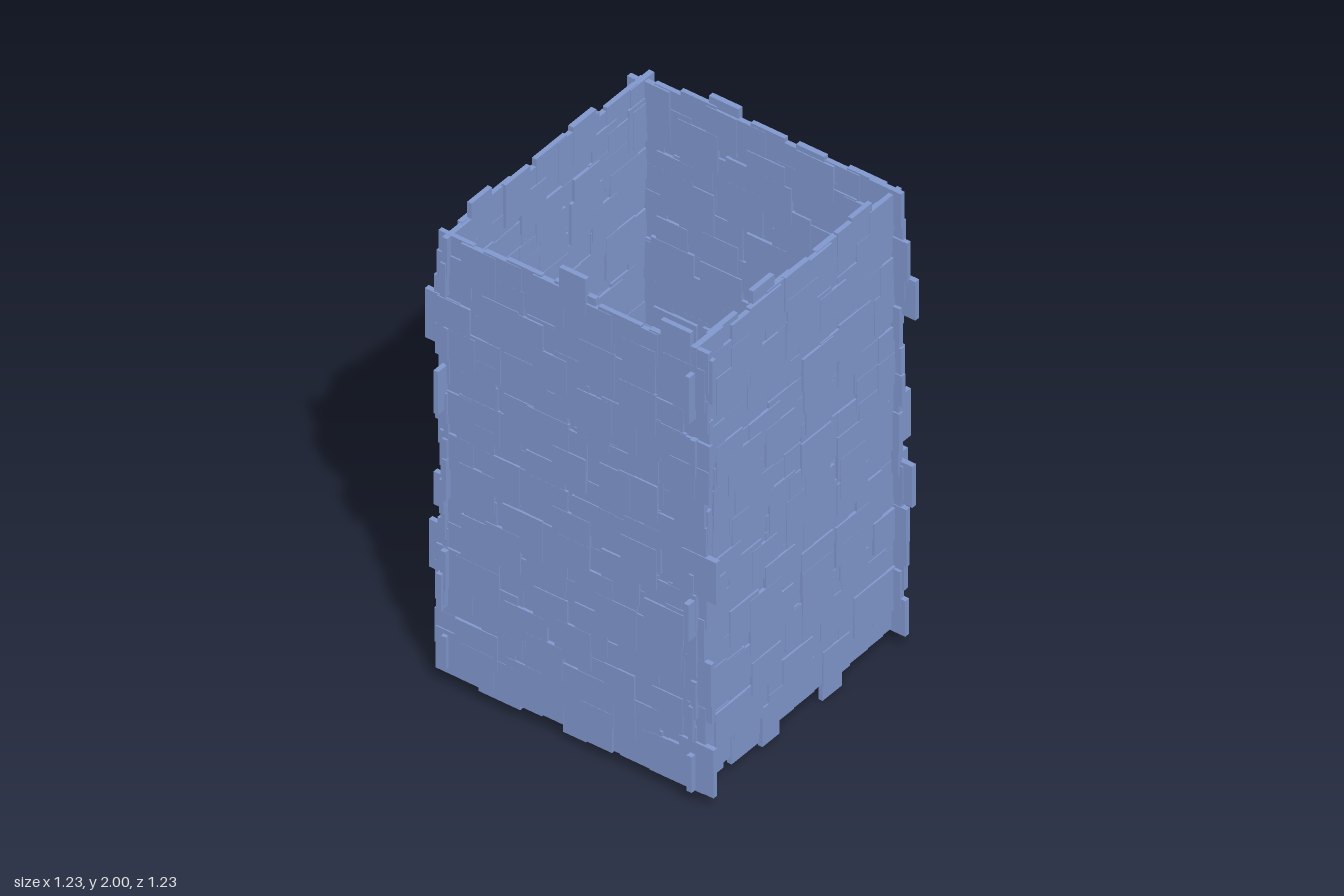
import * as THREE from 'three';
import { mergeGeometries } from 'three/addons/utils/BufferGeometryUtils.js';

// Seeded random numbers, so the tiling is always the same
function seeded(seed) {
  let s = seed;
  return () => {
    s = (s * 16807) % 2147483647;
    return s / 2147483647;
  };
}

// One wall: a jittered grid of thin overlapping slabs, plus slabs that stick out past its edges.
// axis is the direction the wall runs along; at is its position on the other axis.
function makeWall({ name, axis, at, seed, top, bottom, tabs }, material) {
  const rand = seeded(seed);
  const jitter = (r) => (rand() * 2 - 1) * r;
  const parts = [];

  const slab = (u, y, w, h) => {
    const depth = at + jitter(0.007);
    const thick = 0.018 + rand() * 0.004;
    const g = axis === 'x' ? new THREE.BoxGeometry(w, h, thick) : new THREE.BoxGeometry(thick, h, w);
    parts.push(axis === 'x' ? g.translate(u, y, depth) : g.translate(depth, y, u));
  };
  const size = () => 0.127 + rand() * 0.055;

  // Slabs always reach their neighbours, so the wall has no gaps
  const cols = 11, rows = 19;
  for (let j = 0; j < rows; j++) {
    for (let i = 0; i < cols; i++) {
      const u = -0.49 + (0.98 * i) / (cols - 1) + jitter(0.014);
      const y = 0.145 + (1.69 * j) / (rows - 1) + jitter(0.014);
      slab(u, y, size(), size());
    }
  }

  // Edge slabs: the first on each edge reaches furthest, the next ones a little less
  for (const side of [-1, 1]) {
    tabs[side < 0 ? 'low' : 'high'].forEach((y, i) => slab(side * (0.542 - 0.012 * i), y, 0.145, 0.15 + rand() * 0.06));
  }
  tabs.top.forEach((u, i) => slab(u, top - 0.08 - 0.025 * i, 0.1 + rand() * 0.03, 0.16));
  tabs.bottom.forEach((u, i) => slab(u, bottom + 0.08 + 0.02 * i, 0.09 + rand() * 0.03, 0.16));

  const mesh = new THREE.Mesh(mergeGeometries(parts), material);
  mesh.name = name;
  return mesh;
}

export function createModel() {
  const group = new THREE.Group();
  group.name = 'slabTower';
  const material = new THREE.MeshStandardMaterial({ color: 0x8299d0, flatShading: true });

  const walls = [
    { name: 'frontWall', axis: 'x', at: 0.517, seed: 1187, top: 1.965, bottom: 0,
      tabs: { low: [0.79, 1.72], high: [0.93, 0.69, 1.54], top: [-0.19, 0.35], bottom: [0.19, -0.16] } },
    { name: 'backWall', axis: 'x', at: -0.525, seed: 4241, top: 1.975, bottom: 0.02,
      tabs: { low: [1.27, 0.42], high: [1.25, 0.46, 1.73], top: [-0.39, 0.18], bottom: [-0.36, 0.46] } },
    { name: 'leftWall', axis: 'z', at: 0.53, seed: 7919, top: 1.955, bottom: 0.04,
      tabs: { low: [1.15, 0.46, 1.8], high: [1.49, 0.7], top: [-0.19, 0.18], bottom: [-0.31, 0.28] } },
    { name: 'rightWall', axis: 'z', at: -0.555, seed: 6133, top: 2, bottom: 0.035,
      tabs: { low: [1.54, 0.57], high: [0.97, 0.16, 1.8], top: [0.01, 0.44], bottom: [0.01, 0.38] } },
  ];
  walls.forEach((w) => group.add(makeWall(w, material)));
  return group;
}
